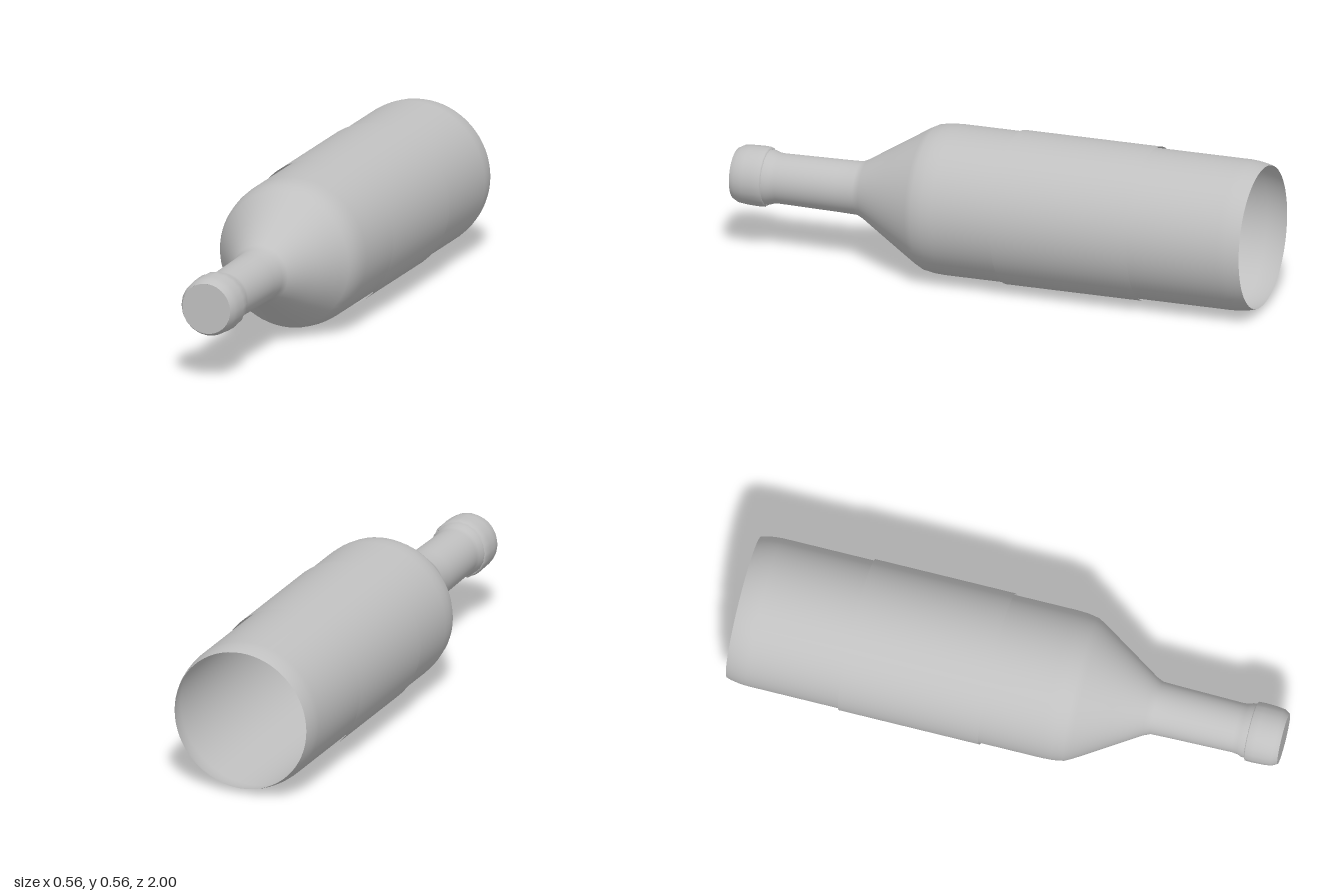
import * as THREE from 'three';

export function createModel() {
  const bottle = new THREE.Group();
  bottle.name = 'bottle';
  const grey = new THREE.MeshStandardMaterial({ color: 0xc0c0c0, side: THREE.DoubleSide });
  grey.name = 'plain grey';

  // Adds a part revolved about the z axis from [radius, z] pairs, back to front
  function turned(name, profile, sides = 64) {
    const points = profile.map(([r, z]) => new THREE.Vector2(r, z));
    const geometry = new THREE.LatheGeometry(points, sides);
    geometry.rotateX(Math.PI / 2);
    const mesh = new THREE.Mesh(geometry, grey);
    mesh.name = name;
    bottle.add(mesh);
    return mesh;
  }

  // Hollow glass shell, open at the back
  turned('glassBody', [
    [0.26, -1], [0.266, -0.98], [0.271, -0.95], [0.273, -0.92], [0.273, -0.5], [0.273, 0],
    [0.273, 0.17], [0.271, 0.21], [0.264, 0.25], [0.25, 0.277], [0.18, 0.39], [0.108, 0.505],
    [0.097, 0.53], [0.095, 0.6], [0.091, 0.83], [0.093, 0.85], [0.099, 0.866], [0.1, 0.89], [0.1, 0.96],
  ]);

  // Thin label sleeve standing just off the glass
  turned('labelSleeve', [[0.279, -0.58], [0.279, -0.06]]);

  // Collar at the mouth, with a gently crimped skirt
  const collar = turned('mouthCollar', [
    [0.1, 0.878], [0.107, 0.882], [0.108, 0.91], [0.107, 0.95], [0.104, 0.98], [0.093, 1],
  ], 80);
  const p = collar.geometry.attributes.position;
  for (let i = 0; i < p.count; i++) {
    const x = p.getX(i), y = p.getY(i);
    const crimp = 1 + 0.014 * Math.cos(20 * Math.atan2(y, x)) * Math.min(1, (1 - p.getZ(i)) / 0.08);
    p.setXY(i, x * crimp, y * crimp);
  }

  // Flat disc closing the mouth
  const disc = new THREE.Mesh(new THREE.CircleGeometry(0.093, 40), grey);
  disc.name = 'mouthDisc';
  disc.position.z = 1;
  bottle.add(disc);

  // Rest the sleeve on the ground
  bottle.children.forEach((part) => { part.position.y = 0.279; });
  return bottle;
}
